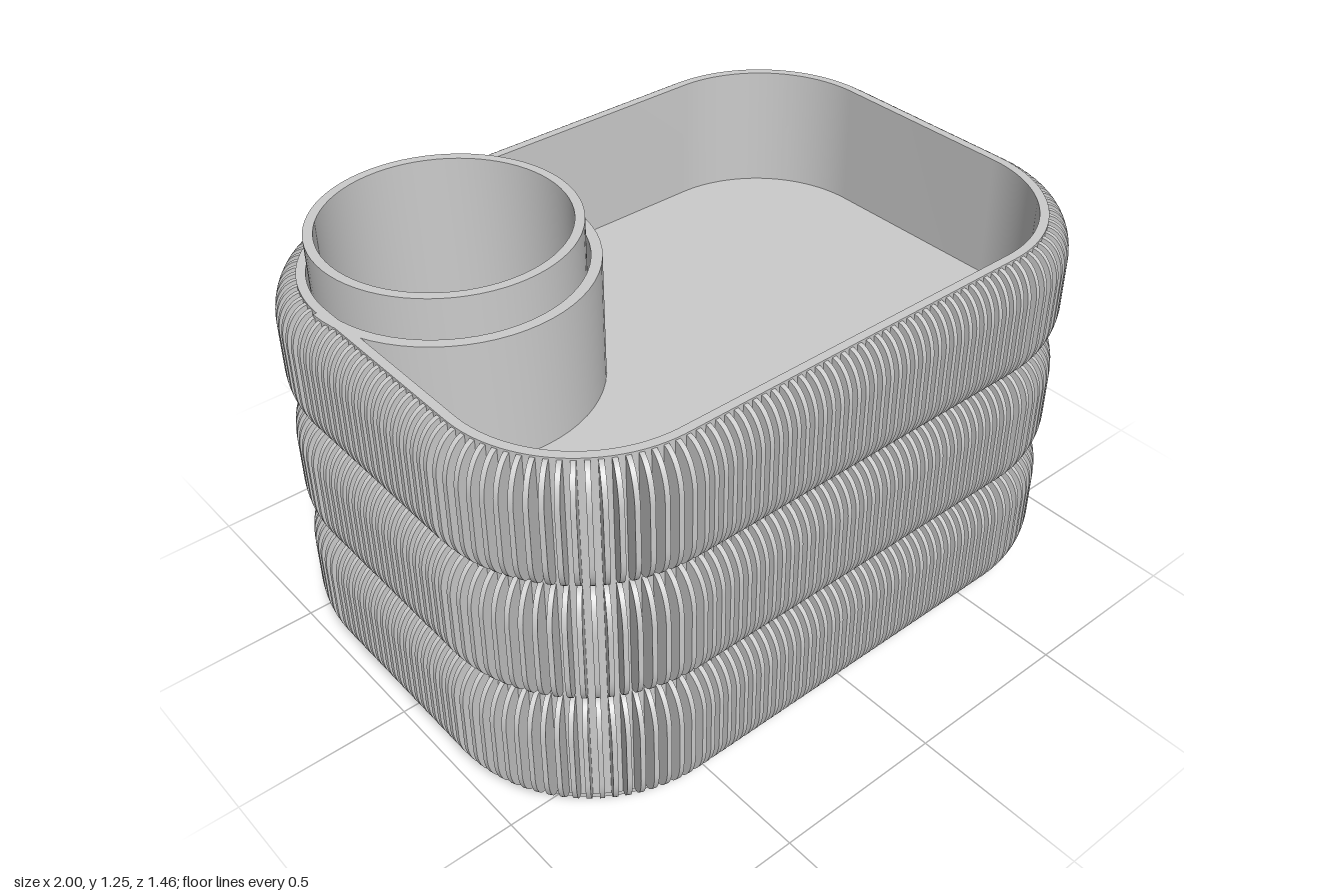
import * as THREE from 'three';
import { mergeGeometries, toCreasedNormals } from 'three/addons/utils/BufferGeometryUtils.js';

const CX = 0.55, CZ = 0.28;          // centres of the corner arcs
const FOOT = 0.03, LAYER = 0.37;     // foot height and height of one ribbed tier
const FLOOR = FOOT + 2 * LAYER, TOP = FOOT + 3 * LAYER;
const material = new THREE.MeshStandardMaterial({ color: 0xcccccc });

// Rounded rectangle at distance r from the corner centres
function outline(r, Type = THREE.Shape) {
  const s = new Type();
  [[1, 1], [-1, 1], [-1, -1], [1, -1]].forEach(([sx, sy], i) =>
    s.absarc(sx * CX, sy * CZ, r, i * Math.PI / 2, (i + 1) * Math.PI / 2, false));
  s.closePath();
  return s;
}

// Extrude a plan shape upward from y0 to y1
function slab(name, shape, y0, y1) {
  const g = new THREE.ExtrudeGeometry(shape, { depth: y1 - y0, bevelEnabled: false, curveSegments: 24 });
  g.rotateX(-Math.PI / 2).translate(0, y0, 0);
  const mesh = new THREE.Mesh(toCreasedNormals(g, 0.6), material);
  mesh.name = name;
  return mesh;
}

// One thin rib with rounded upper and lower outer corners
function ribGeometry() {
  const s = new THREE.Shape(), gap = 0.005, a = 0.07, b = 0.11, x = 0.45 - a;
  s.moveTo(0.365, gap);
  s.absellipse(x, gap + b, a, b, -Math.PI / 2, 0, false);
  s.absellipse(x, LAYER - gap - b, a, b, 0, Math.PI / 2, false);
  s.lineTo(0.365, LAYER - gap);
  s.closePath();
  const t = 0.013;
  const g = new THREE.ExtrudeGeometry(s, { depth: t, bevelEnabled: false, curveSegments: 7 });
  return toCreasedNormals(g.translate(0, 0, -t / 2), 0.6);
}

// Positions and outward angles of the ribs around the perimeter
function ribPlaces() {
  const places = [], nx = 39, nz = 20, nc = 20;
  for (const s of [1, -1]) {
    for (let i = 0; i <= nx; i++) places.push([CX * (2 * i / nx - 1), s * CZ, s * Math.PI / 2]);
    for (let i = 0; i <= nz; i++) places.push([s * CX, CZ * (2 * i / nz - 1), s > 0 ? 0 : Math.PI]);
  }
  [[1, 1], [-1, 1], [-1, -1], [1, -1]].forEach(([sx, sz], q) => {
    for (let i = 1; i < nc; i++) places.push([sx * CX, sz * CZ, (q + i / nc) * Math.PI / 2]);
  });
  return places;
}

export function createModel() {
  const model = new THREE.Group();
  model.name = 'ribbedOrganizer';

  // Foot, solid lower tiers and open upper tray
  const wall = outline(0.385);
  wall.holes.push(outline(0.36, THREE.Path));
  model.add(
    slab('foot', outline(0.37), 0, FOOT),
    slab('lowerBody', outline(0.385), FOOT, FLOOR),
    slab('trayWall', wall, FLOOR, TOP));

  // Three tiers of ribs
  const rib = ribGeometry();
  const ring = mergeGeometries(ribPlaces().map(([x, z, t]) => rib.clone().rotateY(-t).translate(x, 0, z)));
  for (let i = 0; i < 3; i++) {
    const ribs = new THREE.Mesh(ring, material);
    ribs.name = 'ribTier' + (i + 1);
    ribs.position.y = FOOT + i * LAYER;
    model.add(ribs);
  }

  // Round pocket in the back corner, closed by the tray wall
  const pocket = new THREE.Shape();
  pocket.absarc(-CX, CZ, 0.395, -Math.PI, Math.PI / 2, false);
  pocket.absarc(-CX, CZ, 0.365, Math.PI / 2, -Math.PI, true);
  pocket.closePath();
  model.add(slab('cupPocket', pocket, FLOOR, TOP));

  // Removable cup with a small drain hole
  const y0 = FLOOR + 0.002, y1 = 1.25;
  const profile = [[0.04, y0], [0.354, y0], [0.354, y1], [0.328, y1], [0.328, y0 + 0.03], [0.04, y0 + 0.03], [0.04, y0]]
    .map(([r, y]) => new THREE.Vector2(r, y));
  const cup = new THREE.Mesh(toCreasedNormals(new THREE.LatheGeometry(profile, 72), 0.6), material);
  cup.name = 'cup';
  cup.position.set(-CX, 0, -CZ);
  model.add(cup);

  return model;
}
